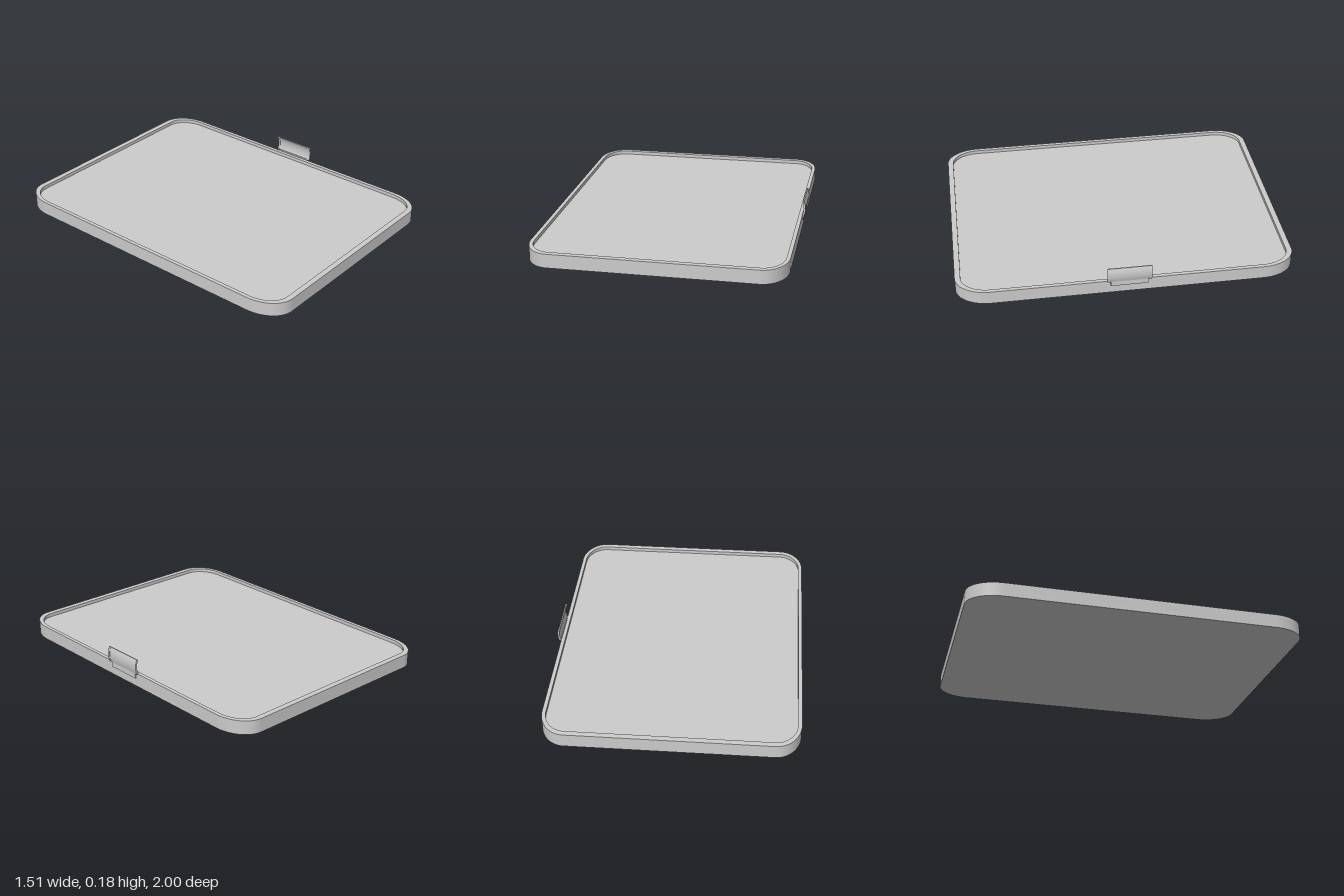
import * as THREE from 'three';
import { toCreasedNormals } from 'three/addons/utils/BufferGeometryUtils.js';

const material = new THREE.MeshStandardMaterial({ color: 0xcccccc, side: THREE.DoubleSide });

// Rectangle with elliptical corners, half sizes w and h, corner radii rx and ry
function roundedOutline(w, h, rx, ry, Type = THREE.Shape) {
  const s = new Type();
  const q = Math.PI / 2;
  const centres = [[1, 1], [-1, 1], [-1, -1], [1, -1]];
  s.moveTo(w, h - ry);
  centres.forEach(([sx, sy], i) =>
    s.absellipse(sx * (w - rx), sy * (h - ry), rx, ry, i * q, (i + 1) * q, false));
  s.closePath();
  return s;
}

function extrude(shape, depth) {
  const g = new THREE.ExtrudeGeometry(shape, { depth, bevelEnabled: false, curveSegments: 16 });
  return toCreasedNormals(g, 0.6);
}

function part(name, geometry) {
  const mesh = new THREE.Mesh(geometry, material);
  mesh.name = name;
  return mesh;
}

// Curved strip across x and y, swept along z
function curvedStrip(centreLine, thickness, z0, z1) {
  const curve = new THREE.CatmullRomCurve3(centreLine.map(([x, y]) => new THREE.Vector3(x, y, 0)));
  const outer = [], inner = [];
  for (let i = 0; i <= 16; i++) {
    const p = curve.getPoint(i / 16);
    const t = curve.getTangent(i / 16);
    outer.push(new THREE.Vector2(p.x + t.y * thickness / 2, p.y - t.x * thickness / 2));
    inner.unshift(new THREE.Vector2(p.x - t.y * thickness / 2, p.y + t.x * thickness / 2));
  }
  return extrude(new THREE.Shape([...outer, ...inner]), z1 - z0).translate(0, 0, z0);
}

export function createModel() {
  const model = new THREE.Group();
  model.name = 'trayWithClip';
  const height = 0.083, recess = 0.022;

  // Shallow tray: solid base and raised rim
  const tray = new THREE.Group();
  tray.name = 'tray';
  const base = extrude(roundedOutline(0.748, 1, 0.15, 0.2), height - recess);
  const rimShape = roundedOutline(0.748, 1, 0.15, 0.2);
  rimShape.holes.push(roundedOutline(0.725, 0.966, 0.127, 0.166, THREE.Path));
  const rim = extrude(rimShape, recess).translate(0, 0, height - recess);
  for (const [name, g] of [['base', base], ['rim', rim]]) {
    tray.add(part(name, g.rotateX(-Math.PI / 2)));
  }
  tray.position.x = -0.009;
  model.add(tray);

  // Curved clip standing on the left edge
  const clip = new THREE.Group();
  clip.name = 'clip';
  const arc = [[0.743, 0.176], [0.750, 0.152], [0.752, 0.13], [0.750, 0.106], [0.744, 0.084]];
  clip.add(part('clipPlate', curvedStrip(arc, 0.008, -0.13, 0.13)));
  for (const s of [-1, 1]) {
    const z = s * 0.123;
    clip.add(part('clipEndRib', curvedStrip(arc, 0.011, z - 0.007, z + 0.007)));
  }
  // Narrower tongue fixed to the tray side
  const tongue = part('clipTongue', new THREE.BoxGeometry(0.009, 0.04, 0.22));
  tongue.position.set(0.7415, 0.071, 0);
  clip.add(tongue);
  model.add(clip);

  return model;
}
